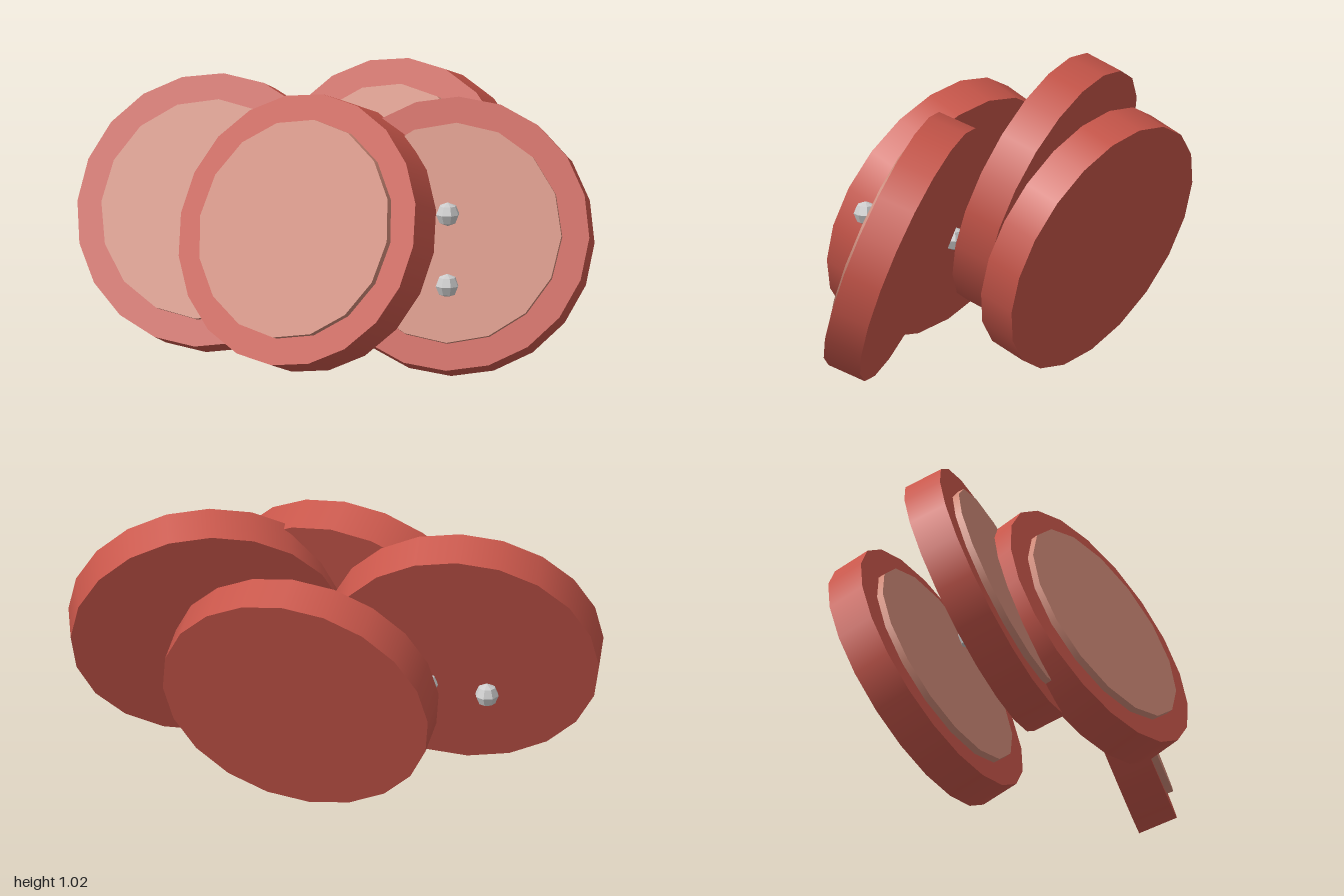
import * as THREE from 'three';

const RADIUS = 0.513, DEPTH = 0.15, TILT = THREE.MathUtils.degToRad(-20);

export function createModel() {
  const model = new THREE.Group();
  model.name = 'tiltedDiscs';

  const rimMaterial = new THREE.MeshStandardMaterial({ color: 0xc8564a });
  const faceMaterial = new THREE.MeshStandardMaterial({ color: 0xd08a78 });
  const beadMaterial = new THREE.MeshStandardMaterial({ color: 0xcccccc, flatShading: true });

  // Cylinders turned so that their axis points forward
  const bodyGeometry = new THREE.CylinderGeometry(RADIUS, RADIUS, DEPTH, 20).rotateX(Math.PI / 2);
  const faceGeometry = new THREE.CylinderGeometry(0.412, 0.412, 0.05, 16).rotateX(Math.PI / 2);
  const beadGeometry = new THREE.SphereGeometry(0.045, 8, 4);

  // A thick disc leaning back, with a raised panel on its front
  function addDisc(name, x, z, yawDegrees) {
    const disc = new THREE.Group();
    disc.name = name;
    const body = new THREE.Mesh(bodyGeometry, rimMaterial);
    body.name = 'discBody';
    const face = new THREE.Mesh(faceGeometry, faceMaterial);
    face.name = 'raisedFace';
    face.position.z = DEPTH / 2 + 0.001;
    disc.add(body, face);
    disc.position.set(x, 0.508, z);
    disc.rotation.set(TILT, THREE.MathUtils.degToRad(yawDegrees), 0, 'YXZ');
    model.add(disc);
  }

  addDisc('backDisc', -0.014, -0.345, 0);
  addDisc('frontDisc', -0.02, 0.341, -5);
  addDisc('leftDisc', 0.49, 0.134, 20);
  addDisc('rightDisc', -0.483, 0.2, 10);

  // Small faceted beads around the discs
  const beads = [
    [0.532, 0.624, 0.271],
    [0.54, 0.357, 0.29],
    [-0.578, 0.325, 0.18],
    [-0.356, 0.36, 0.137],
    [-0.041, 0.39, 0.29],
  ];
  beads.forEach(([x, y, z], i) => {
    const bead = new THREE.Mesh(beadGeometry, beadMaterial);
    bead.name = `bead${i + 1}`;
    bead.position.set(x, y, z);
    model.add(bead);
  });

  return model;
}
